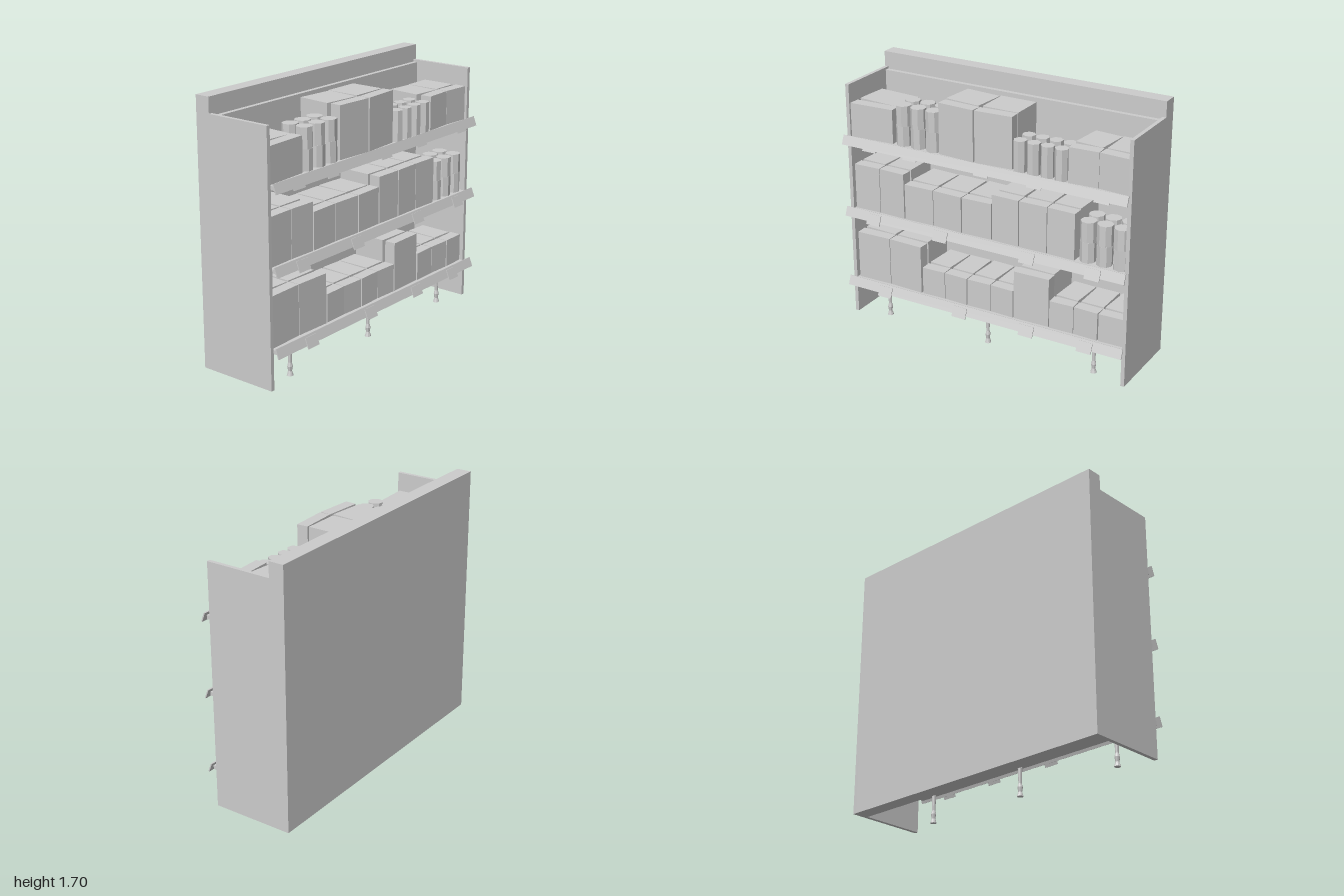
import * as THREE from 'three';

export function createModel() {
  const root = new THREE.Group();
  const grey = new THREE.MeshStandardMaterial({ color: 0xcccccc });
  grey.name = 'plain grey';
  grey.flatShading = true;

  function add(name, geometry, x, y, z, parent = root) {
    const mesh = new THREE.Mesh(geometry, grey);
    mesh.name = name;
    mesh.position.set(x, y, z);
    parent.add(mesh);
    return mesh;
  }
  const box = (w, h, d) => new THREE.BoxGeometry(w, h, d);

  // cabinet shell
  add('backPanel', box(2, 1.7, 0.1), 0, 0.85, -0.26);
  add('backLining', box(1.95, 1.355, 0.03), 0, 0.9075, -0.195);
  for (const s of [-1, 1]) add('sidePanel', box(0.025, 1.6, 0.54), s * 0.9875, 0.8, -0.04);

  // turned legs under the lowest shelf: foot, neck, bead and tapered post
  const legProfile = [
    [0, 0], [0.021, 0], [0.012, 0.03], [0.017, 0.06], [0.011, 0.085], [0.016, 0.235],
  ].map(([r, y]) => new THREE.Vector2(r, y));
  for (const s of [-1, 0, 1]) add('leg', new THREE.LatheGeometry(legProfile, 8), s * 0.76, 0, 0.165);

  // a run of equal cartons: thin ones in front, deep ones behind, turned alternately
  function cartons(parent, y, { from, to, count, height, turn }) {
    const pitch = (to - from) / count;
    for (let i = 0; i < count; i++) {
      const x = from + pitch * (i + 0.5);
      add('frontCarton', box(pitch - 0.006, height, 0.075), x, y + height / 2, 0.172, parent)
        .rotation.y = i % 2 ? -turn : turn;
      add('backCarton', box(pitch - 0.014, height, 0.225), x, y + height / 2, 0.005, parent)
        .rotation.y = i % 2 ? 0 : -1.5 * Math.abs(turn);
    }
  }

  // two rows of jars, optionally stacked
  function jars(parent, y, { from, count, pitch, radius, height, levels, sides, z }) {
    const geometry = new THREE.CylinderGeometry(radius, radius, height, sides);
    for (let i = 0; i < count; i++) {
      for (let row = 0; row < 2; row++) {
        for (let level = 0; level < levels; level++) {
          add('jar', geometry, from + i * pitch, y + height * (level + 0.5), z + row * 0.108, parent)
            .rotation.y = i + row * 2 + level * 0.6;
        }
      }
    }
  }

  const stacked = { count: 3, pitch: 0.11, radius: 0.051, height: 0.132, levels: 2, sides: 8, z: 0.056 };
  const shelves = [
    {
      y: 0.255, holders: [-0.705, -0.135, 0.35, 0.755], holderZ: 0.295,
      cartons: [
        { from: -0.967, to: -0.47, count: 2, height: 0.325, turn: 0.03 },
        { from: -0.465, to: 0.212, count: 4, height: 0.185, turn: 0.03 },
        { from: 0.212, to: 0.462, count: 1, height: 0.325, turn: 0.02 },
        { from: 0.464, to: 0.97, count: 3, height: 0.185, turn: 0.03 },
      ],
      jars: [],
    },
    {
      y: 0.755, holders: [-0.775, -0.27, 0.35, 0.795], holderZ: 0.295,
      cartons: [
        { from: -0.97, to: -0.588, count: 2, height: 0.305, turn: 0.03 },
        { from: -0.587, to: 0.052, count: 3, height: 0.24, turn: 0.03 },
        { from: 0.054, to: 0.634, count: 3, height: 0.305, turn: -0.02 },
      ],
      jars: [{ ...stacked, from: 0.7 }],
    },
    {
      y: 1.25, holders: [-0.795, -0.49, 0.025, 0.39, 0.835], holderZ: 0.277,
      cartons: [
        { from: -0.98, to: -0.667, count: 1, height: 0.225, turn: 0.05 },
        { from: -0.325, to: 0.195, count: 2, height: 0.335, turn: -0.06 },
        { from: 0.575, to: 0.975, count: 2, height: 0.225, turn: 0.06 },
      ],
      jars: [
        { ...stacked, from: -0.605 },
        { from: 0.245, count: 4, pitch: 0.093, radius: 0.043, height: 0.2, levels: 1, sides: 7, z: 0.083 },
      ],
    },
  ];

  const tilt = -0.37;
  for (const s of shelves) {
    const shelf = new THREE.Group();
    shelf.name = 'shelf';
    root.add(shelf);
    add('shelfBoard', box(1.95, 0.025, 0.452), 0, s.y - 0.0125, 0.046, shelf);
    // tilted rail with label holders along the front
    add('labelRail', box(2, 0.064, 0.008), 0, s.y - 0.007, 0.279, shelf).rotation.x = tilt;
    for (const x of s.holders) {
      add('labelHolder', box(0.1, 0.07, 0.006), x, s.y - 0.018, s.holderZ, shelf).rotation.x = tilt;
    }
    s.cartons.forEach((run) => cartons(shelf, s.y, run));
    s.jars.forEach((group) => jars(shelf, s.y, group));
  }
  return root;
}
